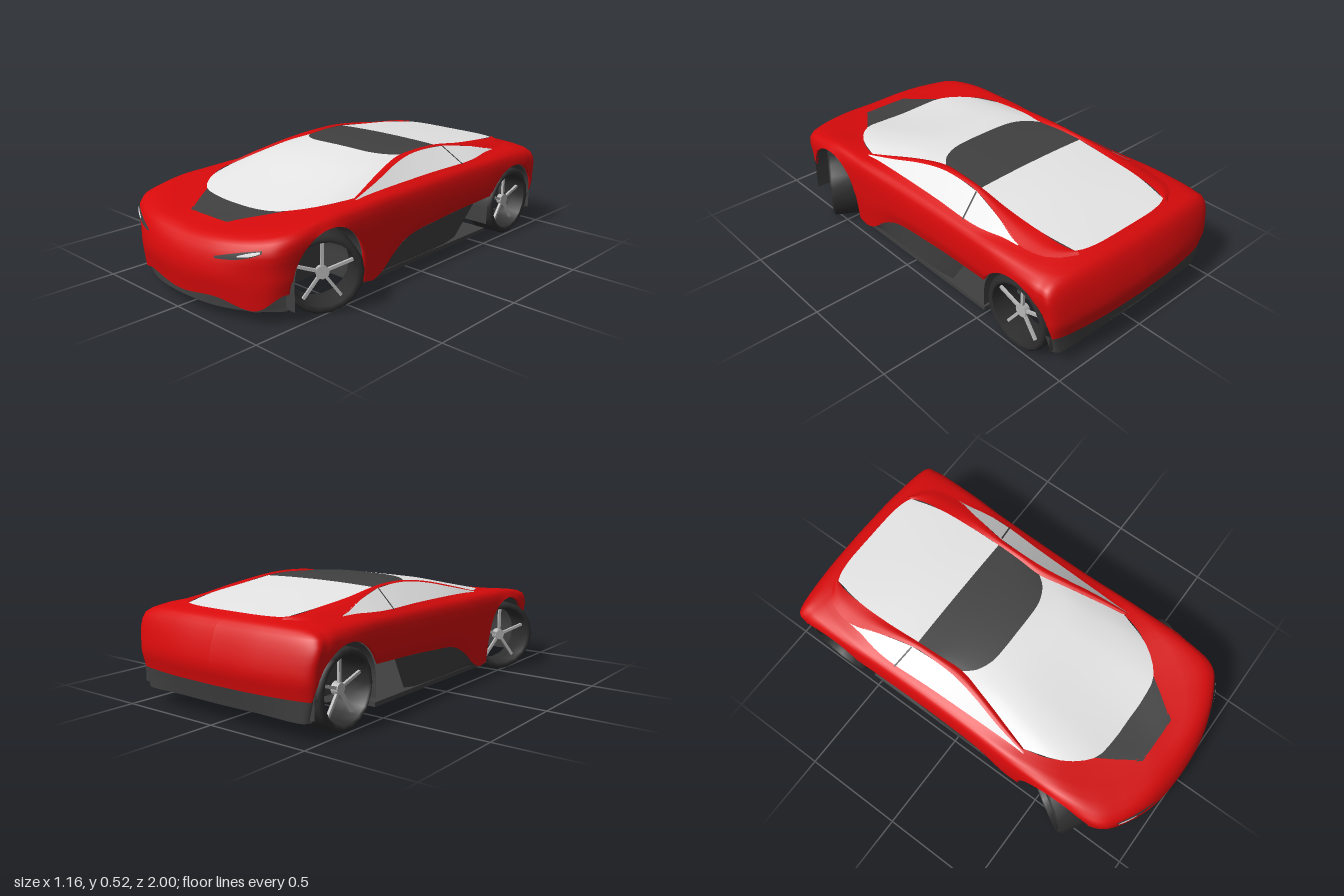
import * as THREE from 'three';

const mat = (name, color, side = THREE.FrontSide) => {
  const m = new THREE.MeshStandardMaterial({ color, side });
  m.name = name;
  return m;
};

// Body stations, front centre to rear centre:
// [x, z, y of lower edge, y of waist, y of shoulder, inner x, inner y, inner z]
const STATIONS = [
  [0, 1.0, 0.085, 0.22, 0.325, 0, 0.362, 0.82],
  [0.22, 0.978, 0.105, 0.22, 0.335, 0.11, 0.363, 0.81],
  [0.385, 0.905, 0.068, 0.22, 0.35, 0.18, 0.375, 0.73],
  [0.475, 0.81, 0.135, 0.23, 0.37, 0.26, 0.391, 0.615],
  [0.5, 0.62, 0.09, 0.24, 0.392, 0.365, 0.411, 0.49],
  [0.505, 0.4, 0.07, 0.24, 0.395, 0.41, 0.421, 0.35],
  [0.505, 0.29, 0.07, 0.24, 0.395, 0.425, 0.425, 0.28],
  [0.5, 0.1, 0.19, 0.27, 0.395, 0.43, 0.432, 0.1],
  [0.5, -0.16, 0.222, 0.29, 0.4, 0.437, 0.438, -0.16],
  [0.505, -0.42, 0.237, 0.3, 0.405, 0.447, 0.441, -0.42],
  [0.51, -0.6, 0.24, 0.3, 0.416, 0.418, 0.45, -0.6],
  [0.51, -0.78, 0.2, 0.29, 0.418, 0.36, 0.456, -0.78],
  [0.505, -0.88, 0.16, 0.28, 0.415, 0.3, 0.457, -0.83],
  [0.47, -0.955, 0.17, 0.27, 0.412, 0.21, 0.457, -0.855],
  [0.25, -0.99, 0.17, 0.27, 0.415, 0.12, 0.457, -0.865],
  [0, -1.0, 0.17, 0.27, 0.415, 0, 0.457, -0.868],
];
// Wheel position, steering angle and height of the arch liner's foot
const WHEELS = [
  { name: 'frontWheel', x: 0.435, z: 0.59, steer: -0.54, inner: 0.26, foot: 0.06 },
  { name: 'rearWheel', x: 0.42, z: -0.73, steer: 0, inner: 0.3, foot: 0.095 },
];
const ARCH_R = 0.195, AXLE_Y = 0.174, TYRE_R = 0.172;

const curve = (pts) => new THREE.CatmullRomCurve3(
  pts.map((p) => (p.isVector3 ? p : new THREE.Vector3(...p))), false, 'catmullrom', 0.5);

// Grid of points f(u, v); faces look along du x dv
function grid(f, nu, nv) {
  const pos = [], idx = [];
  for (let j = 0; j <= nv; j++) {
    for (let i = 0; i <= nu; i++) pos.push(...f(i / nu, j / nv).toArray());
  }
  for (let j = 0; j < nv; j++) {
    for (let i = 0; i < nu; i++) {
      const a = j * (nu + 1) + i, b = a + nu + 1;
      idx.push(a, a + 1, b + 1, a, b + 1, b);
    }
  }
  const g = new THREE.BufferGeometry();
  g.setAttribute('position', new THREE.Float32BufferAttribute(pos, 3));
  g.setIndex(idx);
  g.computeVertexNormals();
  return g;
}

// Smooth skin across a list of rails
function skin(rails) {
  const cs = rails.map(curve);
  return (u, v) => curve(cs.map((c) => c.getPoint(u))).getPoint(v);
}
const loft = (rails, nu = 24, nv = 4) => grid(skin(rails), nu, nv);
const flip = (rails) => rails.map((r) => r.map(([x, y, z]) => [-x, y, z])).reverse();
// Half rail from the centre line outwards, completed on the other side
const mirrored = (half) => [...half.slice(1).reverse().map(([x, y, z]) => [-x, y, z]), ...half];

export function createModel() {
  const car = new THREE.Group();
  car.name = 'sportsCar';
  const red = mat('red paint', 0xd80a0b);
  const glass = mat('pale glass', 0xe6e6e6);
  const dark = mat('dark trim', 0x404040, THREE.DoubleSide);
  const rubber = mat('tyre rubber', 0x2e2e2e, THREE.DoubleSide);
  const metal = mat('wheel metal', 0xb8b8b8);

  const add = (name, geometry, material, parent = car) => {
    const m = new THREE.Mesh(geometry, material);
    m.name = name;
    parent.add(m);
    return m;
  };
  const addPair = (name, rails, material, nu, nv) => {
    add(name + 'Left', loft(rails, nu, nv), material);
    add(name + 'Right', loft(flip(rails), nu, nv), material);
  };

  // Painted shell: four rails round the car, with the wheel arches cut out
  const tuck = (z, k) => z * (1 - k * z ** 6);
  const bodySkin = skin([
    STATIONS.map(([x, z, yb]) => [x * 0.975, yb, tuck(z, 0.015)]),
    STATIONS.map(([x, z, , ym]) => [x, ym, z]),
    STATIONS.map(([x, z, , , ys]) => [x * 0.975, ys, tuck(z, 0.05)]),
    STATIONS.map(([, , , , , x, y, z]) => [x, y, z]),
  ].map(mirrored));
  const shell = (u, v) => {
    const p = bodySkin(u, v);
    if (Math.abs(p.x) > 0.3) {
      for (const w of WHEELS) {
        const d = Math.abs(p.z - w.z);
        if (d < ARCH_R) p.y = Math.max(p.y, AXLE_Y + Math.sqrt(ARCH_R ** 2 - d * d));
      }
    }
    return p;
  };
  add('bodyShell', grid(shell, 360, 14), red);

  // Headlights: slim slits lying just proud of the nose, rising outwards
  const slit = (s, u0, u1, height, lift) => grid((a, b) => {
    const k = s > 0 ? a : 1 - a;
    const st = u0 + (u1 - u0) * k;
    const v = 0.575 - 0.07 * (2.2 - st) + height * (b - 0.5) * Math.sin(Math.PI * (0.1 + 0.75 * k));
    const p = shell(0.5 + (s * st) / 30, v);
    p.x *= lift;
    p.z *= lift;
    return p;
  }, 12, 3);
  for (const s of [-1, 1]) {
    add('headlightSurround', slit(s, 1.0, 2.2, 0.07, 1.004), dark);
    add('headlight', slit(s, 1.55, 2.15, 0.038, 1.007), glass);
  }

  // Cowl vent in the bonnet
  add('cowlVent', loft([
    [[-0.12, 0.362, 0.82], [0, 0.36, 0.825], [0.12, 0.362, 0.82]],
    [[-0.19, 0.374, 0.73], [0, 0.367, 0.74], [0.19, 0.374, 0.73]],
    [[-0.27, 0.391, 0.59], [0, 0.377, 0.645], [0.27, 0.391, 0.59]],
  ], 12, 6), dark);

  // Windscreen, roof and rear window from sections [half width, y mid, y edge, z mid, z edge]
  const across = ([w, yc, ye, zc, ze]) => [-1, -0.85, -0.6, -0.3, 0, 0.3, 0.6, 0.85, 1].map((u) =>
    [w * u, yc + (ye - yc) * u * u, zc + (ze - zc) * Math.abs(u) ** 5]);
  const canopy = (name, sections, material) =>
    add(name, loft(sections.map(across), 24, 12), material);
  canopy('windscreen', [[0.41, 0.376, 0.42, 0.66, 0.35], [0.372, 0.435, 0.457, 0.42, 0.22],
    [0.33, 0.49, 0.495, 0.2, 0.06], [0.3, 0.522, 0.512, 0.02, -0.07]], glass);
  canopy('roof', [[0.3, 0.522, 0.512, 0.02, -0.07], [0.305, 0.527, 0.519, -0.15, -0.2],
    [0.31, 0.522, 0.515, -0.32, -0.32]], dark);
  canopy('rearWindow', [[0.31, 0.522, 0.515, -0.32, -0.32], [0.315, 0.505, 0.495, -0.5, -0.5],
    [0.31, 0.482, 0.478, -0.69, -0.68], [0.28, 0.457, 0.458, -0.875, -0.845]], glass);

  // Roof pillars and side glass share these rails
  const outer = [[0.425, 0.42, 0.37], [0.398, 0.46, 0.2], [0.364, 0.495, 0.05], [0.342, 0.515, -0.08],
    [0.338, 0.52, -0.2], [0.343, 0.514, -0.33], [0.378, 0.488, -0.5], [0.414, 0.453, -0.66],
    [0.38, 0.45, -0.8], [0.28, 0.452, -0.87]];
  const inner = [[0.405, 0.42, 0.35], [0.372, 0.457, 0.22], [0.33, 0.495, 0.06], [0.3, 0.512, -0.07],
    [0.305, 0.519, -0.2], [0.31, 0.515, -0.33], [0.315, 0.495, -0.5], [0.31, 0.478, -0.68],
    [0.3, 0.466, -0.78], [0.28, 0.458, -0.845]];
  const belt = [[0.43, 0.414, 0.36], [0.434, 0.422, 0.2], [0.436, 0.427, 0.05], [0.439, 0.43, -0.08],
    [0.443, 0.432, -0.2], [0.45, 0.434, -0.36], [0.443, 0.44, -0.5], [0.417, 0.446, -0.66]];
  const crown = outer.map(([x, y, z], i) =>
    [(x + inner[i][0]) / 2, (y + inner[i][1]) / 2 + 0.006, (z + inner[i][2]) / 2]);
  addPair('roofPillar', [outer, crown, inner], red, 40, 6);
  addPair('sideWindow', [belt.slice(0, 6), outer.slice(0, 6)], glass, 24, 3);
  addPair('quarterWindow', [belt.slice(5), outer.slice(5, 8)], glass, 12, 3);
  addPair('windowDivider', [
    [[0.453, 0.437, -0.355], [0.453, 0.437, -0.363]],
    [[0.347, 0.516, -0.325], [0.347, 0.516, -0.333]],
  ], dark, 1, 2);

  // Dark lower door panels
  addPair('sillPanel', [
    [[0.47, 0.06, 0.3], [0.475, 0.06, 0.1], [0.475, 0.06, -0.1], [0.465, 0.085, -0.3]],
    [[0.492, 0.08, 0.28], [0.49, 0.192, 0.1], [0.488, 0.218, -0.1], [0.492, 0.238, -0.41]],
  ], dark, 16, 3);

  // Front splitter and rear diffuser
  add('frontSplitter', loft([
    [[0, 0.055, 0.97], [0.2, 0.055, 0.95], [0.36, 0.06, 0.885], [0.45, 0.075, 0.8]],
    [[0, 0.15, 0.97], [0.21, 0.15, 0.95], [0.37, 0.15, 0.885], [0.46, 0.16, 0.8]],
  ].map(mirrored), 32, 2), dark);
  add('rearDiffuser', loft([
    [[0, 0.085, -0.96], [0.22, 0.085, -0.955], [0.42, 0.08, -0.945], [0.47, 0.085, -0.92]],
    [[0, 0.175, -0.98], [0.24, 0.175, -0.972], [0.455, 0.175, -0.945], [0.49, 0.175, -0.9]],
  ].map(mirrored), 32, 2), dark);

  // Flat floor with notches for the front wheels, then a ramp up to the diffuser
  const half = [[0.2, 0.95], [0.36, 0.885], [0.45, 0.79], [0.26, 0.79], [0.26, 0.39], [0.48, 0.39],
    [0.48, -0.53]];
  const outline = [...half, ...half.map(([x, z]) => [-x, z]).reverse()];
  const floor = new THREE.ExtrudeGeometry(
    new THREE.Shape(outline.map(([x, z]) => new THREE.Vector2(x, z))),
    { depth: 0.02, bevelEnabled: false });
  floor.rotateX(Math.PI / 2);
  add('floor', floor, dark).position.y = 0.075;
  add('floorRamp', loft([
    [[-0.3, 0.06, -0.53], [0.3, 0.06, -0.53]],
    [[-0.3, 0.1, -0.93], [0.3, 0.1, -0.93]],
  ], 8, 8), dark);
  add('rearTray', loft([
    [[-0.48, 0.1, -0.92], [0, 0.1, -0.92], [0.48, 0.1, -0.92]],
    [[-0.43, 0.1, -0.945], [0, 0.1, -0.965], [0.43, 0.1, -0.945]],
  ], 16, 1), dark);

  // Wheels and their arch liners
  const tyreProfile = [[0.142, -0.07], [0.158, -0.076], [TYRE_R, -0.064], [TYRE_R, 0.064],
    [0.158, 0.076], [0.142, 0.07], [0.138, 0], [0.142, -0.07]].map((p) => new THREE.Vector2(...p));
  for (const w of WHEELS) {
    // Arch outline: upright feet joined by a half circle, as (z, y)
    const arch = [[-ARCH_R, w.foot]];
    for (let i = 0; i <= 20; i++) {
      const a = Math.PI * (1 - i / 20);
      arch.push([ARCH_R * Math.cos(a), AXLE_Y + ARCH_R * Math.sin(a)]);
    }
    arch.push([ARCH_R, w.foot]);
    const wallShape = new THREE.Shape(arch.map(([z, y]) => new THREE.Vector2(-z, y)));
    for (const s of [-1, 1]) {
      const liner = grid((u, v) => {
        const [z, y] = arch[Math.round(u * (arch.length - 1))];
        return new THREE.Vector3(s * (w.inner + (0.488 - w.inner) * v), y, w.z + z);
      }, arch.length - 1, 1);
      add('archLiner', liner, dark);
      const wall = new THREE.ShapeGeometry(wallShape);
      wall.rotateY(Math.PI / 2);
      add('archWall', wall, dark).position.set(s * w.inner, 0, w.z);

      const wheel = new THREE.Group();
      wheel.name = w.name;
      wheel.position.set(s * w.x, AXLE_Y, w.z);
      wheel.rotation.y = w.steer;
      car.add(wheel);
      const tyre = new THREE.LatheGeometry(tyreProfile, 18);
      tyre.rotateZ(Math.PI / 2);
      add('tyre', tyre, rubber, wheel);
      const hub = new THREE.CylinderGeometry(0.025, 0.03, 0.03, 12);
      hub.rotateZ(Math.PI / 2);
      add('hub', hub, metal, wheel).position.x = s * 0.025;
      for (let i = 0; i < 5; i++) {
        const spoke = new THREE.BoxGeometry(0.012, 0.12, 0.013);
        spoke.translate(s * 0.03, 0.08, 0);
        spoke.rotateX((i * Math.PI * 2) / 5);
        add('spoke', spoke, metal, wheel);
      }
    }
  }
  return car;
}
